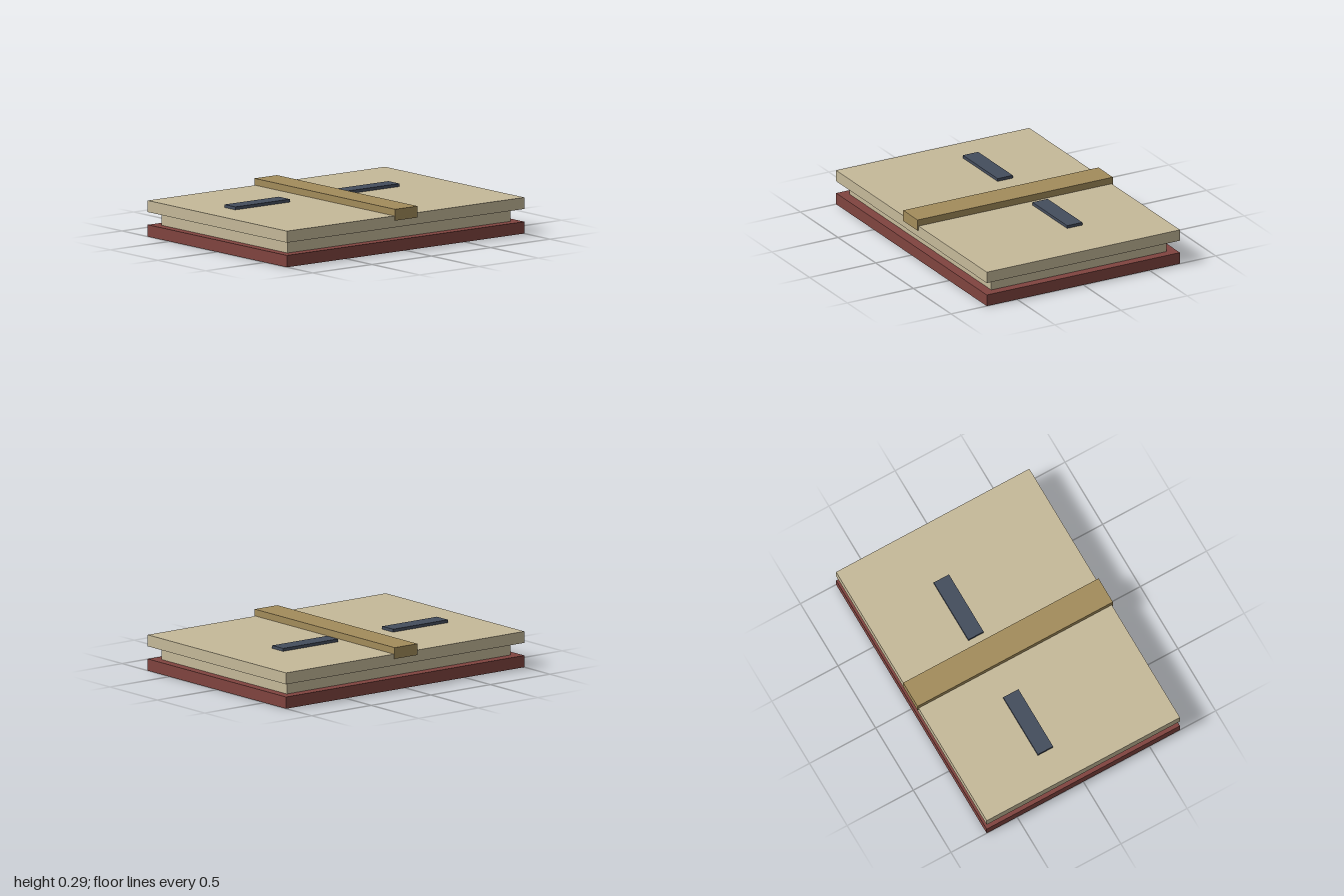
import * as THREE from 'three';

export function createModel() {
  const model = new THREE.Group();
  const material = (name, color) => {
    const m = new THREE.MeshStandardMaterial({ color });
    m.name = name;
    return m;
  };
  const red = material('dark red', 0x80443f);
  const cream = material('cream', 0xc5b999);
  const tan = material('tan', 0xa38c5b);
  const slate = material('slate blue', 0x444d5d);

  // Box spanning y0 to y1, centred at x, z
  const slab = (name, mat, width, depth, y0, y1, x = 0, z = 0) => {
    const mesh = new THREE.Mesh(new THREE.BoxGeometry(width, y1 - y0, depth), mat);
    mesh.position.set(x, (y0 + y1) / 2, z);
    mesh.name = name;
    model.add(mesh);
  };

  // Stacked layers, with a narrow gap under the top one
  slab('base', red, 2, 1.46, 0, 0.079);
  slab('middleLayer', cream, 1.88, 1.324, 0.079, 0.154);
  slab('topLayer', cream, 2, 1.46, 0.164, 0.241);

  // Raised centre band, sunk into the top layer and just overhanging it
  slab('centreBand', tan, 0.19, 1.476, 0.21, 0.286);

  // Two flat bars on the top layer
  slab('rightBar', slate, 0.46, 0.115, 0.241, 0.261, -0.54, -0.155);
  slab('leftBar', slate, 0.46, 0.115, 0.241, 0.261, 0.383, -0.155);

  return model;
}
